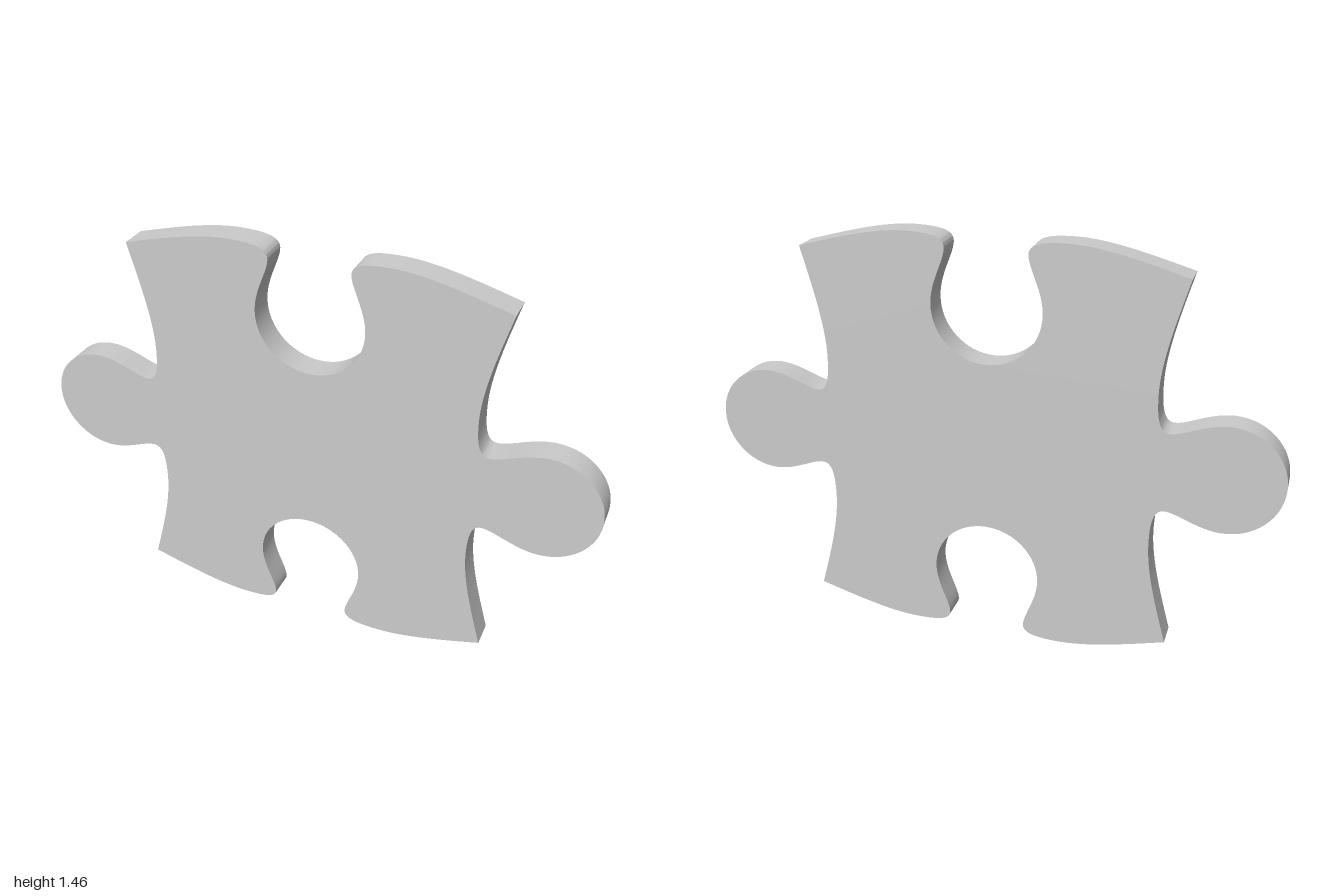
import * as THREE from 'three';
import { toCreasedNormals } from 'three/addons/utils/BufferGeometryUtils.js';

const HALF = 0.652;   // half the corner-to-corner side
const DEPTH = 0.096;
const CENTER_Y = 0.73;

// Half of one edge: x runs along the edge from the corner to its middle,
// y is the offset away from the straight side (positive towards the knob).
function halfEdge() {
  const v = (x, y) => new THREE.Vector2(x, y);
  const path = new THREE.CurvePath();
  const add = (a, b, c, d) => path.add(new THREE.CubicBezierCurve(a, b, c, d));
  add(v(HALF, 0), v(0.52, -0.037), v(0.38, -0.078), v(0.27, -0.078));          // long sweep
  add(v(0.27, -0.078), v(0.19, -0.078), v(0.14, -0.07), v(0.14, -0.033));      // neck fillet
  add(v(0.14, -0.033), v(0.14, 0.01), v(0.19, 0.08), v(0.19, 0.158));          // flare
  add(v(0.19, 0.158), v(0.19, 0.263), v(0.105, 0.348), v(0, 0.348));           // round head
  return path.getPoints(16);
}

export function createModel() {
  const half = halfEdge();
  // Whole edge, from -HALF to +HALF; the last corner belongs to the next edge
  const edge = [
    ...half.map((p) => new THREE.Vector2(-p.x, p.y)),
    ...half.slice(0, -1).reverse(),
  ].slice(0, -1);

  // Four edges anticlockwise: knobs right and left, sockets top and bottom
  const outline = [];
  const origin = new THREE.Vector2();
  for (let k = 0; k < 4; k++) {
    const sign = k % 2 === 0 ? 1 : -1;
    for (const p of edge) {
      outline.push(new THREE.Vector2(HALF + sign * p.y, p.x).rotateAround(origin, (k * Math.PI) / 2));
    }
  }

  // Flat plate with smooth curved walls and sharp rims
  const plate = new THREE.ExtrudeGeometry(new THREE.Shape(outline), { depth: DEPTH, bevelEnabled: false });
  plate.translate(0, CENTER_Y, -DEPTH / 2);
  const piece = new THREE.Mesh(
    toCreasedNormals(plate, 0.6),
    new THREE.MeshStandardMaterial({ color: 0xcccccc })
  );
  piece.name = 'puzzlePiece';

  const group = new THREE.Group();
  group.name = 'jigsawPiece';
  group.add(piece);
  return group;
}
